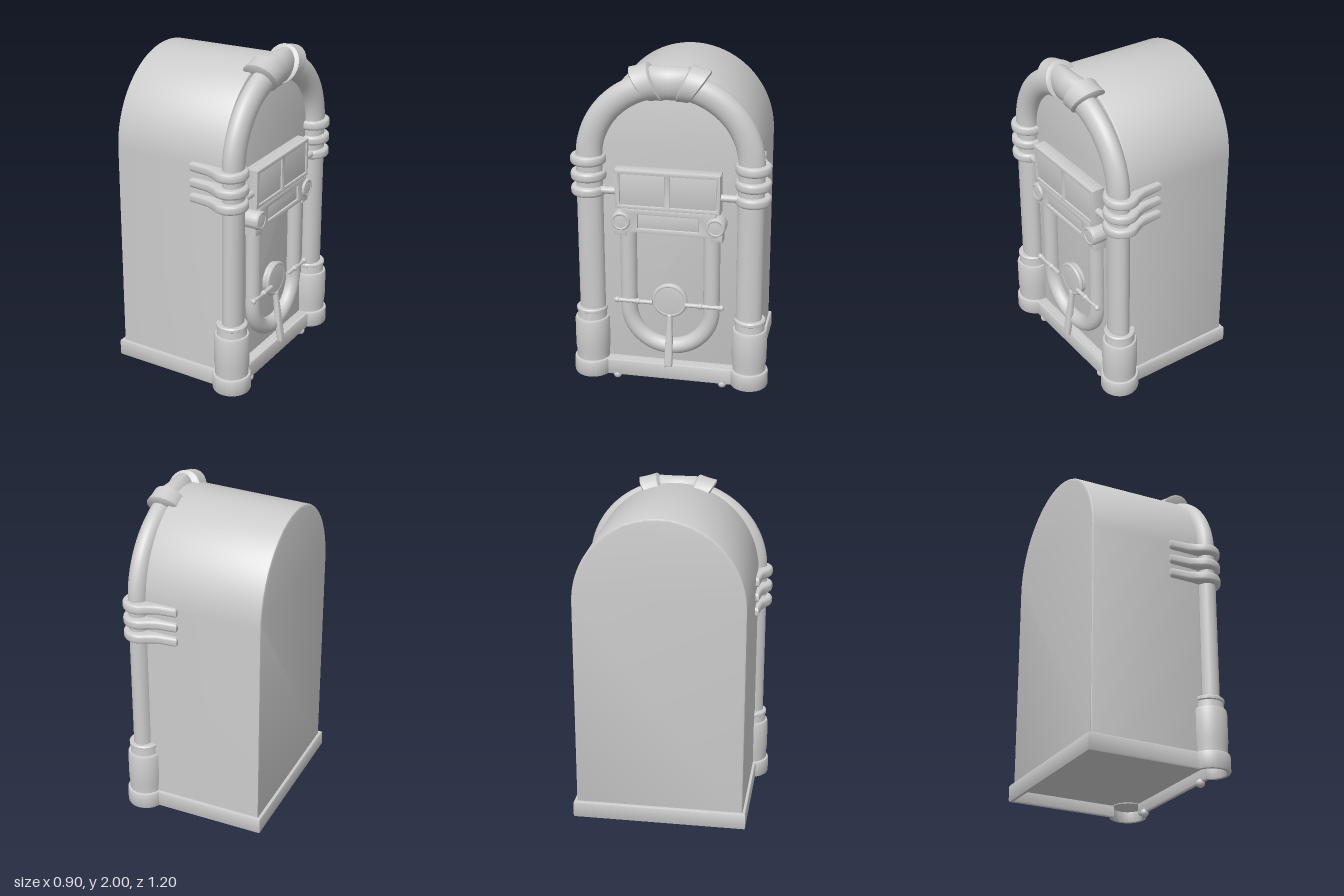
import * as THREE from 'three';
import { toCreasedNormals } from 'three/addons/utils/BufferGeometryUtils.js';

const grey = new THREE.MeshStandardMaterial({ color: 0xcccccc });
grey.name = 'light grey';

const V2 = (x, y) => new THREE.Vector2(x, y);
const V3 = (x, y, z = 0) => new THREE.Vector3(x, y, z);

// Points of a half ellipse, running from +x over the top to -x
function crownPoints(halfWidth, spring, rise, count = 48) {
  return Array.from({ length: count + 1 }, (_, i) => {
    const a = Math.PI * i / count;
    return V2(halfWidth * Math.cos(a), spring + rise * Math.sin(a));
  });
}

// Closed arch: straight sides up to the spring line, rounded crown above
function archShape(halfWidth, bottom, spring, rise) {
  return new THREE.Shape([V2(-halfWidth, bottom), V2(halfWidth, bottom), ...crownPoints(halfWidth, spring, rise)]);
}

function rectPath(x0, y0, x1, y1, Type = THREE.Shape) {
  return new Type([V2(x0, y0), V2(x1, y0), V2(x1, y1), V2(x0, y1)]);
}

// Plan of the plinth: a rectangle with a round foot bulging from each front corner
function plinthPath(inset, Type) {
  const w = 0.525 - inset, front = 0.385 - inset, back = -0.45 + inset;
  const cx = 0.483, cz = 0.335, r = 0.115 - inset;
  const a0 = -Math.acos((w - cx) / r), a1 = Math.PI - Math.asin((front - cz) / r);
  const p = new Type([V2(-w, back), V2(w, back)]);
  p.absarc(cx, cz, r, a0, a1, false);
  p.absarc(-cx, cz, r, Math.PI - a1, Math.PI - a0, false);
  p.closePath();
  return p;
}

// Extrusion from z0 to z1 whose bevel stays inside the outline
function slab(shape, z0, z1, bevel = 0.008, segments = 2) {
  const g = new THREE.ExtrudeGeometry(shape, {
    depth: z1 - z0 - 2 * bevel, bevelEnabled: true, bevelSize: bevel, bevelThickness: bevel,
    bevelOffset: -bevel, bevelSegments: segments, curveSegments: 40,
  });
  g.translate(0, 0, z0 + bevel);
  return toCreasedNormals(g, 0.6);
}

// Extrusion of a plan (x, z) between two heights
function planSlab(shape, y0, y1, bevel, segments) {
  const g = slab(shape, -y1, -y0, bevel, segments);
  g.rotateX(Math.PI / 2);
  return g;
}

// Round band wrapped across two slanted edges, each given as [top, bottom]
function flareGeometry(edgeA, edgeB, zMid, zRadius) {
  const rows = [[0, 0], [0, 0.86], [0.08, 1], [0.5, 0.98], [0.92, 1], [1, 0.86], [1, 0]];
  const n = 32, pos = [], index = [];
  rows.forEach(([s, k], i) => {
    const top = edgeA[0].clone().lerp(edgeB[0], s);
    const bottom = edgeA[1].clone().lerp(edgeB[1], s);
    const mid = top.clone().add(bottom).multiplyScalar(0.5);
    const half = top.sub(bottom).multiplyScalar(0.5 * k);
    for (let j = 0; j <= n; j++) {
      const a = (j / n) * Math.PI * 2;
      const p = mid.clone().addScaledVector(half, Math.cos(a));
      pos.push(p.x, p.y, zMid + Math.sin(a) * zRadius * k);
      if (i < rows.length - 1 && j < n) {
        const q = i * (n + 1) + j, r = q + n + 1;
        index.push(q, q + 1, r, r, q + 1, r + 1);
      }
    }
  });
  const g = new THREE.BufferGeometry();
  g.setAttribute('position', new THREE.Float32BufferAttribute(pos, 3));
  g.setIndex(index);
  return toCreasedNormals(g, 0.7);
}

// Path along one side, round the curved end and back along the other side
function hoopPath(halfWidth, yEnd, ySpring, rise) {
  const leg = Array.from({ length: 8 }, (_, i) => yEnd + (ySpring - yEnd) * i / 8);
  return new THREE.CatmullRomCurve3([
    ...leg.map((y) => V3(halfWidth, y)),
    ...crownPoints(halfWidth, ySpring, rise, 24).map((p) => V3(p.x, p.y)),
    ...leg.reverse().map((y) => V3(-halfWidth, y)),
  ]);
}

export function createModel() {
  const model = new THREE.Group();
  model.name = 'jukebox';
  // Parts are laid out facing +z, then the cabinet is turned to face +x
  const cabinet = new THREE.Group();
  cabinet.name = 'cabinet';
  cabinet.rotation.y = Math.PI / 2;
  model.add(cabinet);
  const add = (name, geometry, x = 0, y = 0, z = 0) => {
    const m = new THREE.Mesh(geometry, grey);
    m.name = name;
    m.position.set(x, y, z);
    cabinet.add(m);
  };

  // Cabinet body, dipping slightly towards the back
  const body = slab(archShape(0.507, 0.1, 1.42, 0.535), -0.43, 0.287, 0.012);
  const bp = body.attributes.position;
  for (let i = 0; i < bp.count; i++) {
    const drop = 0.022 * (0.287 - bp.getZ(i)) / 0.717;
    if (bp.getY(i) > 1) bp.setY(i, bp.getY(i) - drop * (bp.getY(i) - 1));
  }
  add('body', body);
  add('frontPanel', slab(archShape(0.46, 0.1, 1.43, 0.44), 0.25, 0.318, 0.002));

  // Hollow plinth with round front feet, and the ledge closing its front edge
  const plinth = plinthPath(0, THREE.Shape);
  plinth.holes.push(plinthPath(0.026, THREE.Path));
  add('plinth', planSlab(plinth, 0.027, 0.135, 0.012));
  add('frontLedge', planSlab(rectPath(-0.45, 0.25, 0.45, 0.375), 0.1, 0.132, 0.004));

  // Arched tube with its two columns
  const arch = new THREE.TubeGeometry(hoopPath(0.476, 0.4, 1.43, 0.453), 120, 0.078, 24);
  arch.scale(1, 1, 0.78);
  add('archTube', arch, 0, 0, 0.34);

  // Column pedestal with stepped collar
  const pedestal = [
    [0, 0.095], [0.1, 0.095], [0.1, 0.17], [0.105, 0.21], [0.105, 0.385], [0.1, 0.4], [0.089, 0.402],
    [0.086, 0.445], [0.093, 0.45], [0.093, 0.465], [0.086, 0.472], [0, 0.472],
  ].map(([r, y]) => V2(r, y));

  for (const side of [-1, 1]) {
    add('pedestal', toCreasedNormals(new THREE.LatheGeometry(pedestal, 40), 0.6), side * 0.483, 0, 0.335);

    // Three bands wrapping the column and running back along the side
    const pts = [V2(side * 0.46, 0.08), V2(side * 0.528, 0.08), V2(side * 0.54, 0.2)];
    for (let i = 0; i <= 20; i++) {
      const a = -0.7 + (Math.PI + 1.1) * i / 20;
      pts.push(V2(side * (0.485 + 0.105 * Math.cos(a)), 0.325 + 0.105 * Math.sin(a)));
    }
    pts.push(V2(side * 0.46, 0.25));
    for (const y of [1.223, 1.315, 1.412]) {
      add('columnBand', planSlab(new THREE.Shape(pts), y - 0.029, y + 0.029, 0.018, 4));
    }

    // Crown flare
    const outer = [V3(side * 0.245, 1.965), V3(side * 0.11, 1.78)];
    const inner = [V3(side * 0.125, 2.0), V3(side * 0.03, 1.785)];
    add('crownFlare', side < 0 ? flareGeometry(outer, inner, 0.325, 0.105)
      : flareGeometry(inner, outer, 0.325, 0.105));

    // Selector knob with a soft rim and a small bracket under it
    add('knob', slab(new THREE.Shape().absarc(0, 0, 0.058, 0, Math.PI * 2), 0.3, 0.41, 0.014, 3), side * 0.28, 1.06);
    add('knobRim', new THREE.TorusGeometry(0.047, 0.009, 10, 32), side * 0.28, 1.06, 0.405);
    add('knobBracket', slab(rectPath(-0.036, -0.025, 0.036, 0.03), 0.3, 0.395), side * 0.285, 0.99);

    // Rods from the display to the bands and from the medallion outwards
    add('displayRod', new THREE.CylinderGeometry(0.022, 0.022, 0.12, 12).rotateZ(Math.PI / 2), side * 0.35, 1.232, 0.36);
    add('medallionRod', new THREE.CylinderGeometry(0.013, 0.013, 0.23, 12).rotateZ(Math.PI / 2), side * 0.215, 0.54, 0.38);
    for (const x of [0.19, 0.315]) {
      add('rodBead', new THREE.SphereGeometry(0.018, 16, 12), side * x, 0.54, 0.38);
    }

    // Small levelling foot
    add('levellingFoot', new THREE.SphereGeometry(0.026, 16, 12), side * 0.325, 0.026, 0.365);
  }

  // Crown centre between the flares
  add('crownCentre', flareGeometry([V3(-0.13, 1.985), V3(-0.07, 1.79)],
    [V3(0.13, 1.985), V3(0.07, 1.79)], 0.335, 0.07));

  // Title display: framed box with two panes
  const frame = rectPath(-0.315, 1.135, 0.305, 1.375);
  frame.holes.push(rectPath(-0.285, 1.16, -0.022, 1.35, THREE.Path), rectPath(0.012, 1.16, 0.28, 1.35, THREE.Path));
  add('displayFrame', slab(frame, 0.3, 0.398));
  add('displayPanes', slab(rectPath(-0.3, 1.145, 0.295, 1.365), 0.3, 0.388, 0.003));

  // Selector strip under the display
  const strip = rectPath(-0.28, 0.99, 0.28, 1.14);
  strip.holes.push(rectPath(-0.18, 1.02, 0.18, 1.105, THREE.Path));
  add('selectorFrame', slab(strip, 0.3, 0.4));
  add('selectorStrip', slab(rectPath(-0.19, 1.01, 0.19, 1.115), 0.3, 0.388, 0.003));

  // U-shaped moulding on the lower front
  const moulding = new THREE.TubeGeometry(hoopPath(0.25, 1.0, 0.49, -0.25), 100, 0.05, 16);
  add('lowerMoulding', moulding, 0, 0, 0.335);

  // Recessed medallion with rim, and a handle that leans forward at the bottom
  add('medallion', slab(new THREE.Shape().absarc(0, 0, 0.1, 0, Math.PI * 2), 0.3, 0.362, 0.015, 3), 0, 0.548);
  add('medallionRim', new THREE.TorusGeometry(0.095, 0.014, 10, 40), 0, 0.548, 0.35);
  const handle = new THREE.Shape();
  handle.moveTo(-0.014, 0.46);
  handle.bezierCurveTo(-0.012, 0.32, -0.03, 0.3, -0.022, 0.13);
  handle.lineTo(0.022, 0.13);
  handle.bezierCurveTo(0.028, 0.3, 0.016, 0.32, 0.016, 0.46);
  handle.closePath();
  const lever = slab(handle, 0.335, 0.37, 0.01, 3);
  lever.applyMatrix4(new THREE.Matrix4().makeShear(0, 0, 0, -0.14, 0, 0));
  add('handle', lever, 0, 0, 0.0644);

  return model;
}
